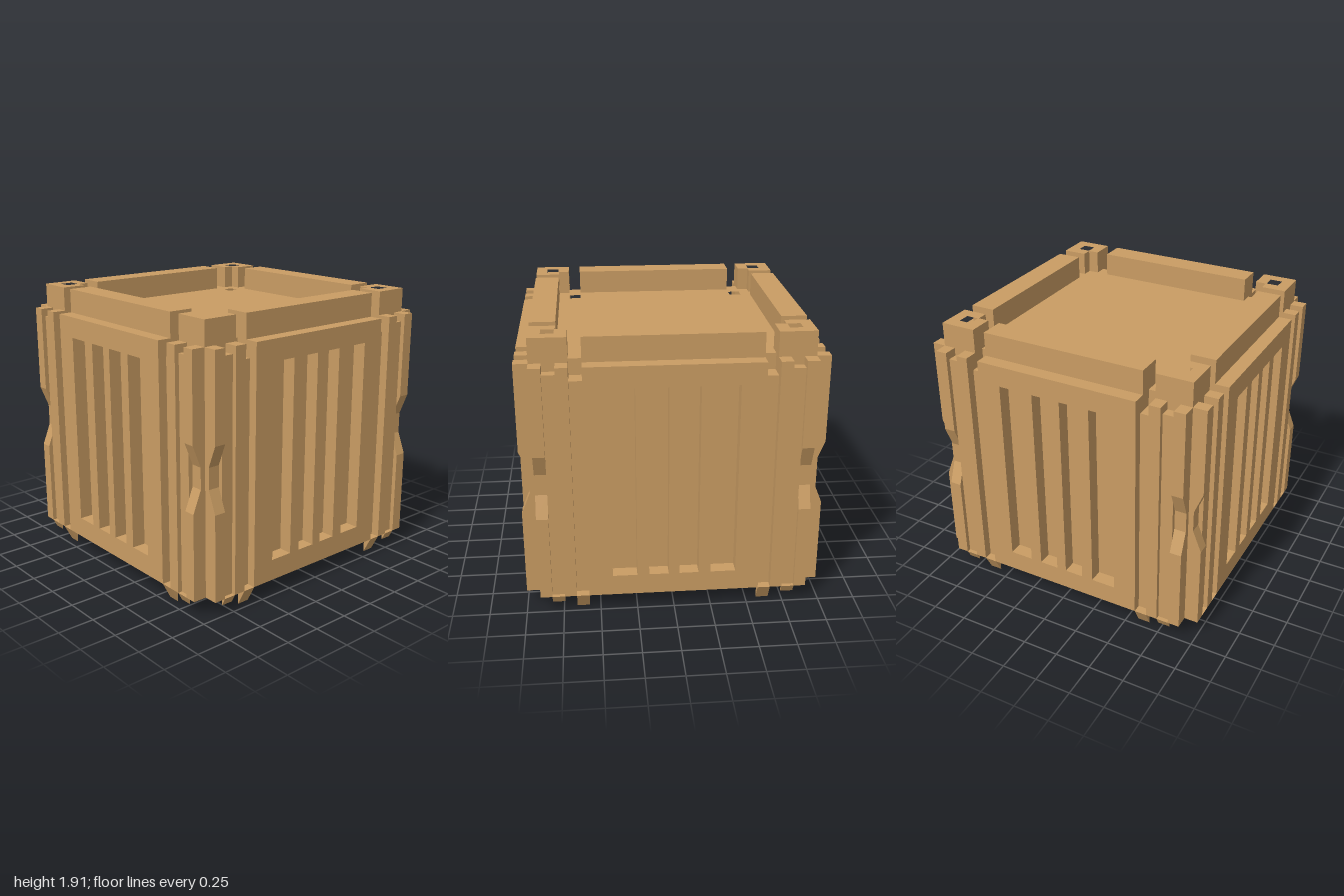
import * as THREE from 'three';

const material = new THREE.MeshStandardMaterial({ color: 0xc99c63, flatShading: true });

const BASE = 0.115, TOP = 1.75, RIM = 1.915, CORE = 0.905, OUT = 1;

function add(parent, name, geometry) {
  const mesh = new THREE.Mesh(geometry, material);
  mesh.name = name;
  parent.add(mesh);
  return mesh;
}

// Box given by its limits on each axis
function block(parent, name, x0, x1, y0, y1, z0, z1) {
  const g = new THREE.BoxGeometry(x1 - x0, y1 - y0, z1 - z0);
  g.translate((x0 + x1) / 2, (y0 + y1) / 2, (z0 + z1) / 2);
  return add(parent, name, g);
}

const shapeOf = (pts) => new THREE.Shape(pts.map(([x, y]) => new THREE.Vector2(x, y)));

function rectHole(shape, x0, x1, y0, y1) {
  const pts = [[x0, y0], [x0, y1], [x1, y1], [x1, y0]];
  shape.holes.push(new THREE.Path(pts.map(([x, y]) => new THREE.Vector2(x, y))));
}

const extrude = (shape, depth) =>
  new THREE.ExtrudeGeometry(shape, { depth, bevelEnabled: false });

// Prism with a (z, y) profile, running from x0 to x1
function prism(parent, name, pts, x0, x1) {
  const g = extrude(shapeOf(pts), x1 - x0);
  g.rotateY(-Math.PI / 2).translate(x1, 0, 0);
  return add(parent, name, g);
}

// Flat plan shape raised from y0 to y1
function slab(parent, name, shape, y0, y1) {
  const g = extrude(shape, y1 - y0);
  g.rotateX(-Math.PI / 2).translate(0, y0, 0);
  return add(parent, name, g);
}

function createSide() {
  const side = new THREE.Group();
  side.name = 'side';

  // Panel with four vertical slots
  const panel = shapeOf([[-0.575, BASE], [0.575, BASE], [0.575, TOP], [-0.575, TOP]]);
  for (const [a, b] of [[-0.415, -0.25], [-0.17, -0.037], [0.033, 0.165], [0.245, 0.415]])
    rectHole(panel, a, b, 0.26, 1.605);
  add(side, 'slottedPanel', extrude(panel, OUT - CORE).translate(0, 0, CORE));

  // Raised rim behind the panel's upper edge
  block(side, 'topRim', -0.575, 0.575, TOP, RIM, 0.735, CORE);

  for (const s of [-1, 1]) {
    const span = (a, b) => (s > 0 ? [a, b] : [-b, -a]);

    // Recessed strips with a wedge foot below each
    for (const [a, b, face, top, tip] of [
      [0.575, 0.66, 0.94, 1.64, 0],
      [0.74, 0.825, 0.97, 1.695, 0.058],
    ]) {
      block(side, 'recessedStrip', ...span(a, b), BASE, top, CORE, face);
      prism(side, 'wedgeFoot', [[face, tip], [OUT, BASE], [face, BASE]], ...span(a, b));
    }

    // Plain ridge, then corner ridge with a hand notch
    block(side, 'ridge', ...span(0.66, 0.74), BASE, TOP, CORE, OUT);
    prism(side, 'notchedCornerRidge', [
      [CORE, BASE], [OUT, BASE], [OUT, 0.71], [0.94, 0.86],
      [0.94, 1.005], [OUT, 1.155], [OUT, TOP], [CORE, TOP],
    ], ...span(0.825, CORE));
  }

  // L-shaped corner post with a square socket
  const post = shapeOf([
    [0.735, 0.66], [CORE, 0.66], [CORE, CORE], [0.66, CORE], [0.66, 0.735], [0.735, 0.735],
  ].map(([x, y]) => [x, -y]));
  rectHole(post, 0.74, 0.825, -0.825, -0.74);
  slab(side, 'cornerPost', post, TOP, RIM);

  return side;
}

export function createModel() {
  const model = new THREE.Group();
  model.name = 'crate';

  // Solid body below the lid
  block(model, 'body', -CORE, CORE, BASE, 1.64, -CORE, CORE);

  // Lid with edge cut-outs and four square sockets
  const edge = [
    [-CORE, CORE], [-0.66, CORE], [-0.66, 0.825], [-0.575, 0.825], [-0.575, CORE],
    [0.575, CORE], [0.575, 0.825], [0.66, 0.825], [0.66, CORE],
  ];
  const outline = [];
  let turned = edge;
  for (let i = 0; i < 4; i++) {
    outline.push(...turned);
    turned = turned.map(([x, y]) => [y, -x]);
  }
  const lid = shapeOf(outline);
  for (const x of [-0.66, 0.575])
    for (const y of [-0.66, 0.575]) rectHole(lid, x, x + 0.085, y, y + 0.085);
  slab(model, 'lid', lid, 1.64, TOP);

  // Four identical sides
  for (let i = 0; i < 4; i++) {
    const side = createSide();
    side.rotation.y = (i * Math.PI) / 2;
    model.add(side);
  }
  return model;
}
